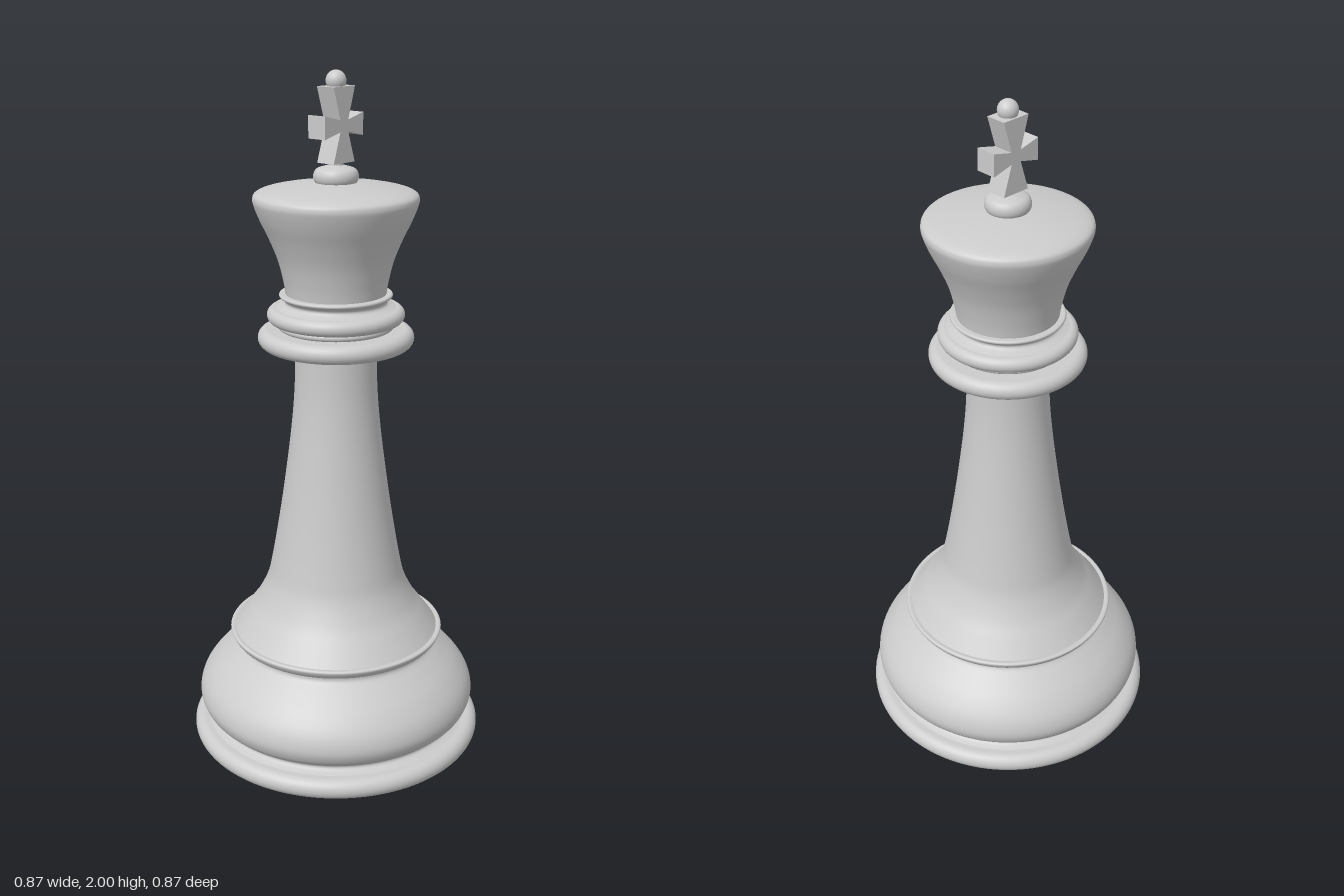
import * as THREE from 'three';

const grey = new THREE.MeshStandardMaterial({ color: 0xcccccc });
const felt = new THREE.MeshStandardMaterial({ color: 0x14281c });

export function createModel() {
  const king = new THREE.Group();
  king.name = 'chessKing';

  const add = (name, geometry, material = grey) => {
    const mesh = new THREE.Mesh(geometry, material);
    mesh.name = name;
    king.add(mesh);
    return mesh;
  };

  // Turned part: a smooth curve through [radius, height] points, bottom to top
  const turned = (name, points, samples = 32) => {
    const curve = new THREE.SplineCurve(points.map(([r, y]) => new THREE.Vector2(r, y)));
    const profile = curve.getPoints(samples).map((p) => new THREE.Vector2(Math.max(p.x, 0), p.y));
    return add(name, new THREE.LatheGeometry(profile, 96));
  };

  // Rounded disc from an inner radius out to r, between y0 and y1
  const ring = (name, inner, r, y0, y1) => {
    const h = (y1 - y0) / 2;
    const profile = [new THREE.Vector2(inner, y0)];
    for (let i = 0; i <= 14; i++) {
      const a = -Math.PI / 2 + (Math.PI * i) / 14;
      profile.push(new THREE.Vector2(r - h + h * Math.cos(a), y0 + h + h * Math.sin(a)));
    }
    profile.push(new THREE.Vector2(inner, y1));
    return add(name, new THREE.LatheGeometry(profile, 96));
  };

  // Felt pad under the base
  add('feltPad', new THREE.CylinderGeometry(0.385, 0.385, 0.02, 96), felt).position.y = 0.01;

  // Base and lower body
  ring('baseRim', 0.3, 0.437, 0.015, 0.075);
  turned('baseCove', [[0.4, 0.073], [0.376, 0.082], [0.373, 0.094], [0.388, 0.104]], 12);
  turned('baseBulge', [[0.388, 0.104], [0.407, 0.125], [0.417, 0.16], [0.405, 0.205], [0.37, 0.252],
    [0.325, 0.293], [0.296, 0.318], [0.292, 0.332]], 40);
  turned('baseCollar', [[0.292, 0.332], [0.309, 0.342], [0.32, 0.36], [0.315, 0.367], [0.302, 0.365]], 20);
  turned('stem', [[0.305, 0.365], [0.268, 0.415], [0.236, 0.46], [0.207, 0.52], [0.192, 0.58], [0.169, 0.71],
    [0.148, 0.85], [0.129, 1.0], [0.119, 1.12], [0.116, 1.25]], 48);

  // Neck with its collars
  add('neck', new THREE.CylinderGeometry(0.135, 0.135, 0.14, 96)).position.y = 1.32;
  ring('lowerCollar', 0.1, 0.222, 1.24, 1.293);
  ring('lowerFillet', 0.1, 0.165, 1.292, 1.312);
  ring('upperCollar', 0.1, 0.195, 1.311, 1.354);
  turned('upperCove', [[0.17, 1.354], [0.148, 1.362], [0.144, 1.373], [0.158, 1.385]], 12);
  ring('headFillet', 0.1, 0.16, 1.383, 1.394);

  // Flared head with a low domed top
  turned('head', [[0.142, 1.392], [0.148, 1.43], [0.163, 1.49], [0.187, 1.55], [0.211, 1.6],
    [0.226, 1.638], [0.23, 1.658], [0.222, 1.673], [0.19, 1.684], [0.12, 1.696], [0.05, 1.703], [0, 1.705]], 60);

  // Button that carries the cross
  turned('button', [[0.052, 1.695], [0.061, 1.708], [0.062, 1.724], [0.054, 1.738], [0.035, 1.745],
    [0.015, 1.75], [0, 1.751]], 24);

  // Cross with four flared arms
  const cy = 1.855;
  const outline = [
    [0.016, 0.016], [0.078, 0.031], [0.078, -0.031], [0.016, -0.016], [0.043, -0.099],
    [-0.043, -0.099], [-0.016, -0.016], [-0.078, -0.031], [-0.078, 0.031], [-0.016, 0.016],
    [-0.043, 0.103], [0.043, 0.103],
  ].map(([x, y]) => new THREE.Vector2(x, y));
  const cross = new THREE.ExtrudeGeometry(new THREE.Shape(outline), { depth: 0.06, bevelEnabled: false });
  cross.translate(0, cy, -0.03);
  add('cross', cross);
  add('crossPeg', new THREE.CylinderGeometry(0.02, 0.02, 0.03, 24)).position.y = 1.75;

  // Ball on top
  add('ball', new THREE.SphereGeometry(0.028, 32, 20)).position.y = 1.972;

  return king;
}
